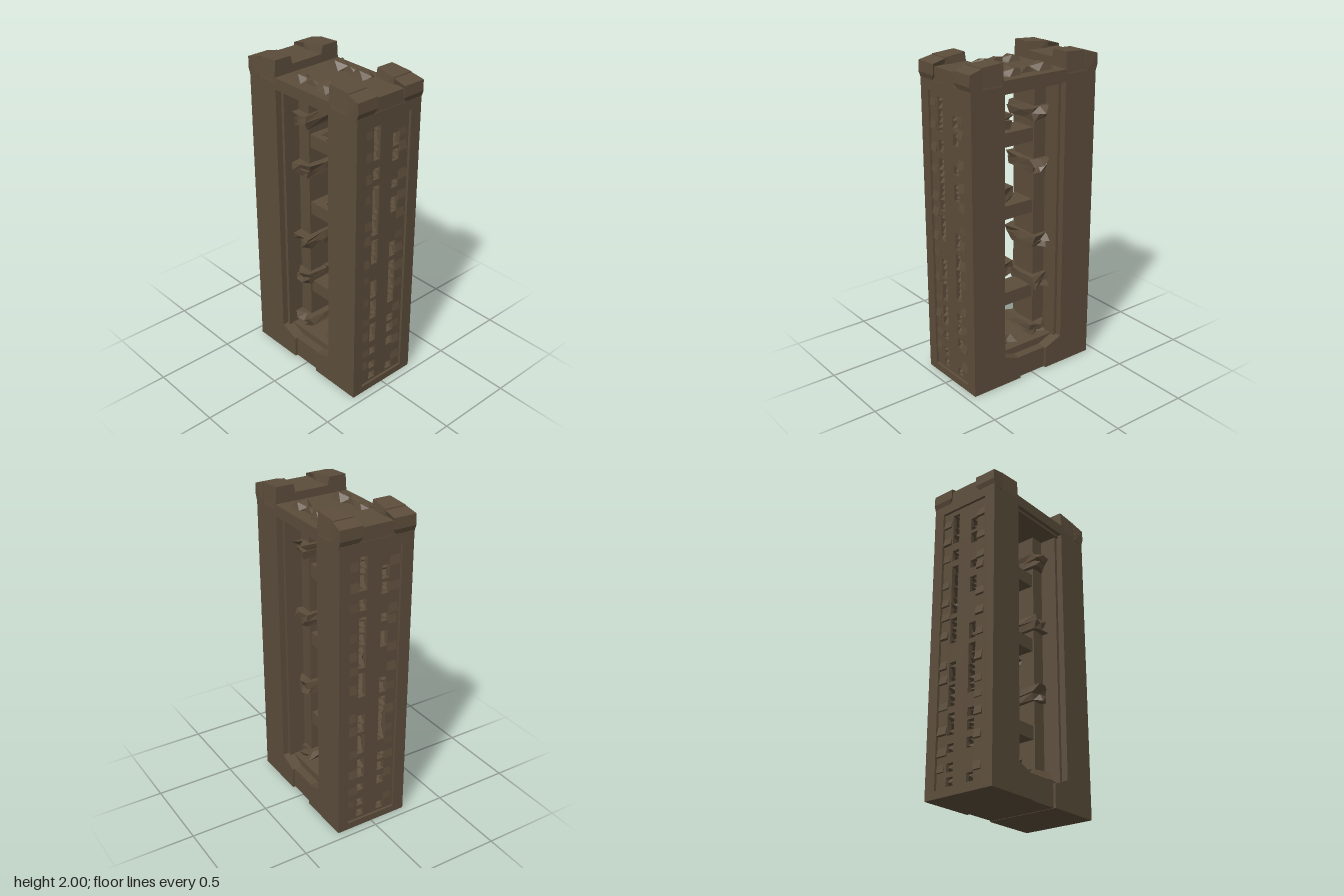
import * as THREE from 'three';
import { mergeGeometries } from 'three/addons/utils/BufferGeometryUtils.js';

const stone = new THREE.MeshStandardMaterial({ color: 0x5c4d3b, flatShading: true });
stone.name = 'brown stone';

// Seeded noise in 0..1
let seed = 7;
const rnd = () => (seed = (seed * 16807) % 2147483647) / 2147483647;

function add(parent, name, geometry) {
  const mesh = new THREE.Mesh(geometry, stone);
  mesh.name = name;
  parent.add(mesh);
}

// Box given by its limits
function box(x0, x1, y0, y1, z0, z1) {
  return new THREE.BoxGeometry(x1 - x0, y1 - y0, z1 - z0)
    .translate((x0 + x1) / 2, (y0 + y1) / 2, (z0 + z1) / 2);
}

// Prism with a [z, y] profile, running from x0 to x1
function prism(points, x0, x1) {
  const shape = new THREE.Shape(points.map(([z, y]) => new THREE.Vector2(z, y)));
  return new THREE.ExtrudeGeometry(shape, { depth: x1 - x0, bevelEnabled: false })
    .rotateY(-Math.PI / 2).translate(x1, 0, 0);
}

// Upright plate with rectangular holes [x0, x1, y0, y1]
function plate(x0, x1, y0, y1, z0, z1, holes) {
  const rect = (Type, a, b, c, d) => new Type([[a, c], [b, c], [b, d], [a, d]]
    .map(p => new THREE.Vector2(...p)));
  const shape = rect(THREE.Shape, x0, x1, y0, y1);
  shape.holes = holes.map(h => rect(THREE.Path, ...h));
  return new THREE.ExtrudeGeometry(shape, { depth: z1 - z0, bevelEnabled: false }).translate(0, 0, z0);
}

// Move vertices by a rule; equal corners move together
function warp(g, rule) {
  const p = g.attributes.position, moved = new Map(), v = new THREE.Vector3();
  for (let i = 0; i < p.count; i++) {
    v.fromBufferAttribute(p, i);
    const key = v.toArray().map(n => n.toFixed(3)).join();
    if (!moved.has(key)) moved.set(key, rule(v.clone()));
    p.setXYZ(i, ...moved.get(key).toArray());
  }
  g.computeVertexNormals();
  return g;
}

// Irregular faceted lump
function rock(x, y, z, sx, sy, sz) {
  return warp(new THREE.IcosahedronGeometry(1, 0),
    v => v.multiplyScalar(0.85 + 0.4 * rnd()).multiply(new THREE.Vector3(sx, sy, sz))).translate(x, y, z);
}

// Jagged broken slab
function slab(x, y, z, sx, sy, sz) {
  const shake = size => size * (0.75 + 0.5 * rnd());
  return warp(new THREE.BoxGeometry(2, 2, 2, 2, 1, 2),
    v => v.set(v.x * shake(sx), v.y * shake(sy), v.z * shake(sz))).translate(x, y, z);
}

// Heights [low, high] of the slots in the two columns
const leftSlots = [[1.58, 1.78], [1.46, 1.53], [1.1, 1.42], [0.91, 1.07], [0.67, 0.79],
  [0.52, 0.65], [0.35, 0.48], [0.25, 0.3], [0.14, 0.19], [0.06, 0.11]];
const rightSlots = [[1.62, 1.7], [1.53, 1.6], [1.36, 1.41], [1.2, 1.3], [0.9, 1.0],
  [0.57, 0.87], [0.43, 0.48], [0.35, 0.41], [0.25, 0.31], [0.06, 0.11]];

function makeTower(name) {
  const tower = new THREE.Group();
  tower.name = name;
  add(tower, 'towerCore', box(-0.24, 0.24, 0, 1.87, 0.22, 0.4));
  // Tower head with sloped sides
  const head = new THREE.Shape([[-0.24, 1.87], [0.24, 1.87], [0.225, 1.95], [-0.225, 1.95]]
    .map(p => new THREE.Vector2(...p)));
  add(tower, 'towerHead', new THREE.ExtrudeGeometry(head, { depth: 0.22, bevelEnabled: false })
    .translate(0, 0, 0.225));

  // Raised frame and sunken panel with slots
  add(tower, 'panelFrame', plate(-0.24, 0.24, 0, 1.87, 0.4, 0.448, [[-0.17, 0.165, 0.045, 1.81]]));
  const holes = [...leftSlots.map(([a, b]) => [-0.1, -0.05, a, b]),
    ...rightSlots.map(([a, b]) => [0.045, 0.095, a, b])];
  add(tower, 'slottedPanel', plate(-0.17, 0.165, 0.045, 1.81, 0.4, 0.432, holes));

  // Broken teeth inside the slots, narrowing to the front
  const teeth = [];
  for (const [x0, x1, low, high] of holes) {
    const n = Math.max(1, Math.round((high - low) / 0.04)), h = (high - low) / n;
    for (let i = 0; i < n; i++) {
      const y = low + i * h, peak = y + h * (0.25 + 0.4 * rnd());
      const lean = 0.03 * rnd() - 0.015;
      teeth.push(warp(prism([[0.398, y], [0.434, peak], [0.398, y + h]], x0, x1),
        v => (v.z > 0.42 ? v.setX((v.x + x0 + x1) / 3 + lean) : v)));
    }
  }
  add(tower, 'slotTeeth', mergeGeometries(teeth));

  // Worn ledges beside the slots
  const ledges = [];
  for (let i = 0; i < 13; i++) {
    const y = 0.1 + i * 0.13;
    for (const [x0, x1] of [[-0.17, -0.1], [0.095, 0.165]]) {
      const t = y + 0.07 * rnd(), d = 0.436 + 0.01 * rnd();
      ledges.push(prism([[0.42, t - 0.01], [d, t], [0.43, t + 0.06]], x0, x1 - 0.02 * rnd()));
    }
  }
  add(tower, 'wornLedges', mergeGeometries(ledges));

  // Corner battlements: upright block and overhanging, chipped cap
  const blockProfile = [[0.225, 1.88], [0.372, 1.88], [0.372, 1.99], [0.225, 2]];
  const capProfile = [[0.37, 1.86], [0.44, 1.85], [0.458, 1.9], [0.455, 1.965], [0.37, 1.985]];
  for (const side of [-1, 1]) {
    const battlement = new THREE.Group();
    battlement.name = side < 0 ? 'rightBattlement' : 'leftBattlement';
    const part = (inner, outer, profile) => (side < 0
      ? prism(profile, -outer, -inner) : prism(profile, inner, outer));
    add(battlement, 'battlementBlock', warp(part(0.095, 0.24, blockProfile),
      v => (v.y > 1.93 ? v.setX(side * (Math.abs(v.x) > 0.17 ? 0.232 : v.z < 0.3 ? 0.12 : 0.1)) : v)));
    add(battlement, 'battlementCap', warp(part(0.098, 0.243, capProfile),
      v => (v.y < 1.88 && Math.abs(v.x) < 0.17 ? v.setX(side * 0.135)
        : v.y > 1.98 && Math.abs(v.x) > 0.17 ? v.setX(side * 0.235) : v)));
    tower.add(battlement);
  }

  // Stepped inner jamb
  add(tower, 'jamb', box(-0.2, 0.2, 0.17, 1.83, 0.2, 0.23));
  add(tower, 'innerPilaster', box(-0.09, 0.09, 0.17, 1.83, 0.112, 0.21));
  return tower;
}

export function createModel() {
  const model = new THREE.Group();
  model.name = 'ruinedTwinTower';

  // Two matching towers, one turned about
  const back = makeTower('backTower');
  back.rotation.y = Math.PI;
  model.add(makeTower('frontTower'), back);

  // Roof deck with a thin lip under it
  add(model, 'roofDeck', box(-0.24, 0.24, 1.83, 1.9, -0.235, 0.235));
  add(model, 'roofLip', box(-0.215, 0.215, 1.815, 1.84, -0.225, 0.225));

  // Base with an inset centre and sloped sills
  add(model, 'baseCentre', box(-0.225, 0.225, 0.002, 0.14, -0.11, 0.11));
  add(model, 'baseFloor', box(-0.17, 0.17, 0.1, 0.185, -0.23, 0.23));
  for (const turn of [0, Math.PI]) {
    add(model, 'baseSill', prism([[0.1, 0], [0.23, 0], [0.23, 0.19], [0.2, 0.18], [0.1, 0.14]], -0.24, 0.24)
      .rotateY(turn));
  }

  // Cross beams between the towers
  for (const y of [0.48, 1.05, 1.5]) {
    add(model, 'crossBeam', box(-0.08, 0.08, y - 0.042, y + 0.042, -0.2, 0.2));
  }

  // Rubble shelves around the inner pilasters: [y, z]
  const lumps = [[1.63, 0.145], [1.19, 0.14], [0.72, 0.14], [0.2, 0.125],
    [1.63, -0.145], [1.31, -0.14], [0.82, -0.14], [0.55, -0.15], [0.22, -0.13]];
  add(model, 'innerRubble', mergeGeometries(lumps.flatMap(([y, z]) => [
    slab(0, y + 0.022, z, 0.13, 0.022, 0.06), slab(0, y - 0.018, z, 0.115, 0.025, 0.05)])));

  // Rubble strips on the roof
  const strips = [];
  for (const x of [-0.14, 0.14]) {
    strips.push(rock(x, 1.9, -0.11, 0.05, 0.045, 0.08), rock(x, 1.9, 0.1, 0.055, 0.045, 0.08),
      rock(x, 1.9, 0, 0.022, 0.035, 0.09));
  }
  add(model, 'roofRubble', mergeGeometries(strips));
  return model;
}
